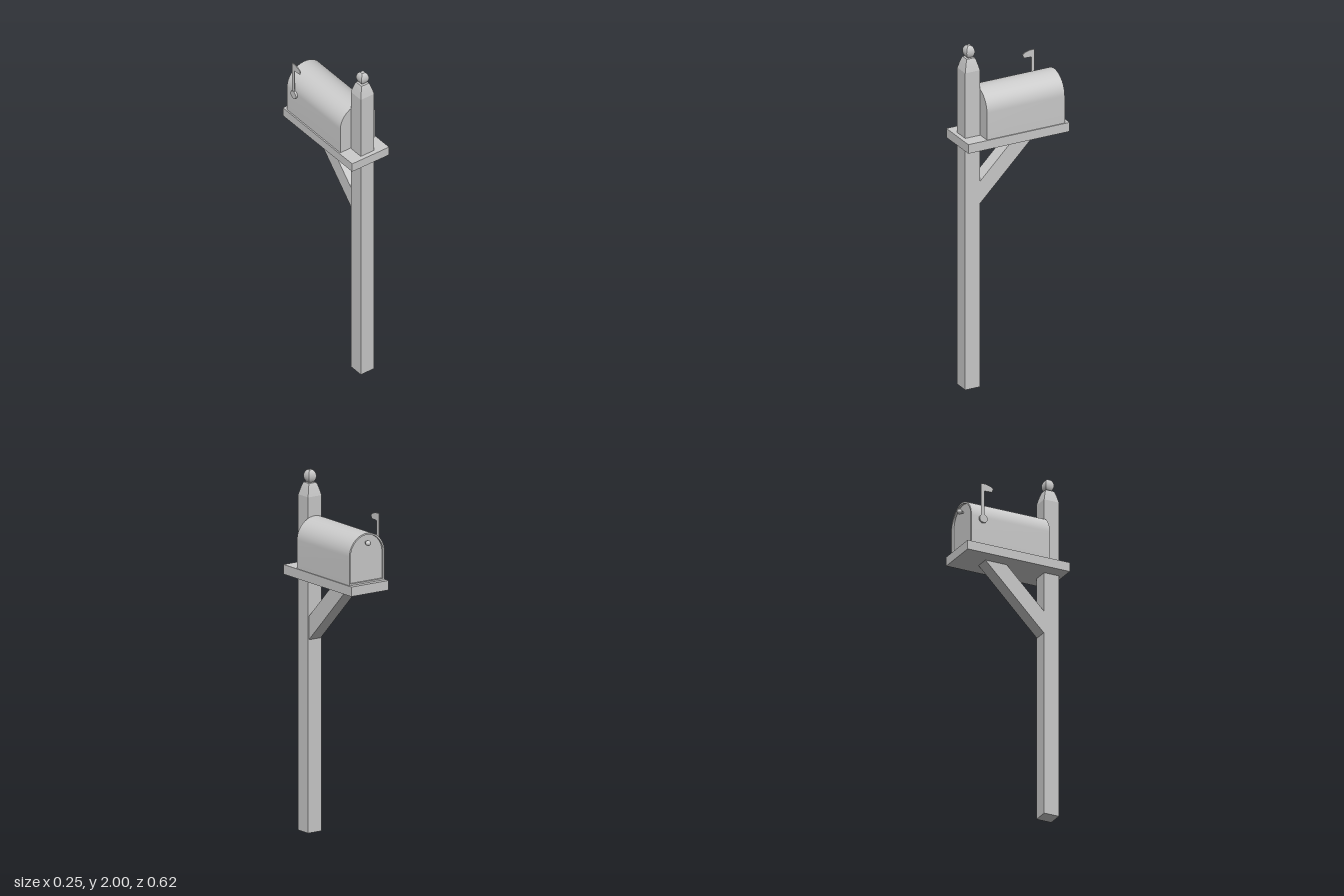
import * as THREE from 'three';
import { toCreasedNormals } from 'three/addons/utils/BufferGeometryUtils.js';

const POST_X = -0.002, POST_Z = 0.24, HALF = 0.045;

export function createModel() {
  const group = new THREE.Group();
  const material = new THREE.MeshStandardMaterial({ color: 0xcccccc });

  function add(name, geometry, x = 0, y = 0, z = 0) {
    const mesh = new THREE.Mesh(geometry, material);
    mesh.name = name;
    mesh.position.set(x, y, z);
    group.add(mesh);
    return mesh;
  }
  // Box given by its limits on each axis
  function addBox(name, [x0, x1], [y0, y1], [z0, z1]) {
    return add(name, new THREE.BoxGeometry(x1 - x0, y1 - y0, z1 - z0),
      (x0 + x1) / 2, (y0 + y1) / 2, (z0 + z1) / 2);
  }
  function extrude(shape, depth) {
    const g = new THREE.ExtrudeGeometry(shape, { depth, bevelEnabled: false, curveSegments: 16 });
    return toCreasedNormals(g, 0.5);
  }
  // Square-section turning from [half width, height] points
  function squareTurning(profile) {
    const points = profile.map(([h, y]) => new THREE.Vector2(h * Math.SQRT2, y));
    return toCreasedNormals(new THREE.LatheGeometry(points, 4, Math.PI / 4), 0.6);
  }
  // Side profile in (z, y), extruded across x and centred on x = 0
  function sideExtrude(shape, width) {
    return extrude(shape, width).translate(0, 0, -width / 2).rotateY(-Math.PI / 2);
  }
  // Mailbox outline: straight walls under a half-round roof
  function arch(Type, r, bottom, spring) {
    const s = new Type();
    s.moveTo(-r, bottom);
    s.lineTo(r, bottom);
    s.lineTo(r, spring);
    s.absarc(0, spring, r, 0, Math.PI, false);
    s.closePath();
    return s;
  }

  // Post with tapered cap and finial
  addBox('post', [POST_X - HALF, POST_X + HALF], [0, 1.86], [POST_Z - HALF, POST_Z + HALF]);
  add('postCap', squareTurning([
    [HALF, 1.86], [0.037, 1.893], [0.03, 1.917], [0.025, 1.93], [0, 1.93],
  ]), POST_X, 0, POST_Z);
  const finial = [[0, 1.928]];
  for (let i = 0; i <= 8; i++) {
    const a = THREE.MathUtils.lerp(-1.15, 1.15, i / 8);
    finial.push([0.025 * Math.cos(a), 1.9645 + 0.0355 * Math.sin(a) / Math.sin(1.15)]);
  }
  finial.push([0, 2]);
  add('finial', squareTurning(finial), POST_X, 0, POST_Z);

  // Shelf and diagonal brace
  addBox('shelf', [-0.124, 0.124], [1.425, 1.478], [-0.31, 0.31]);
  const brace = new THREE.Shape([[0.196, 1.07], [0.196, 1.2], [-0.03, 1.426], [-0.16, 1.426]]
    .map(([z, y]) => new THREE.Vector2(z, y)));
  add('brace', sideExtrude(brace, 0.08), POST_X);

  // Mailbox body with a rim around the recessed door
  const R = 0.117, BASE = 1.478, SPRING = 1.636, FRONT = -0.283, RECESS = 0.012;
  add('mailboxBody', extrude(arch(THREE.Shape, R, BASE, SPRING), 0.476 - RECESS), 0.001, 0, FRONT + RECESS);
  const rim = arch(THREE.Shape, R, BASE, SPRING);
  rim.holes.push(arch(THREE.Path, R - 0.009, BASE + 0.009, SPRING));
  add('doorRim', extrude(rim, RECESS), 0.001, 0, FRONT);

  // Door knob on a short stem
  add('doorKnob', new THREE.SphereGeometry(0.015, 16, 12), 0.001, 1.7, -0.294);
  add('knobStem', new THREE.CylinderGeometry(0.006, 0.006, 0.025, 12).rotateX(Math.PI / 2), 0.001, 1.7, -0.28);

  // Signal flag: notched blade on an arm, hung from a round pivot
  const flag = new THREE.Shape();
  flag.moveTo(-0.228, 1.625);
  flag.lineTo(-0.208, 1.625);
  flag.lineTo(-0.208, 1.79);
  flag.lineTo(-0.162, 1.792);
  flag.lineTo(-0.154, 1.812);
  flag.lineTo(-0.172, 1.825);
  flag.lineTo(-0.2, 1.832);
  flag.lineTo(-0.228, 1.832);
  flag.closePath();
  add('flag', sideExtrude(flag, 0.005), -0.1215);
  add('flagPivot', new THREE.CylinderGeometry(0.024, 0.024, 0.012, 20).rotateZ(Math.PI / 2), -0.121, 1.625, -0.214);

  return group;
}
